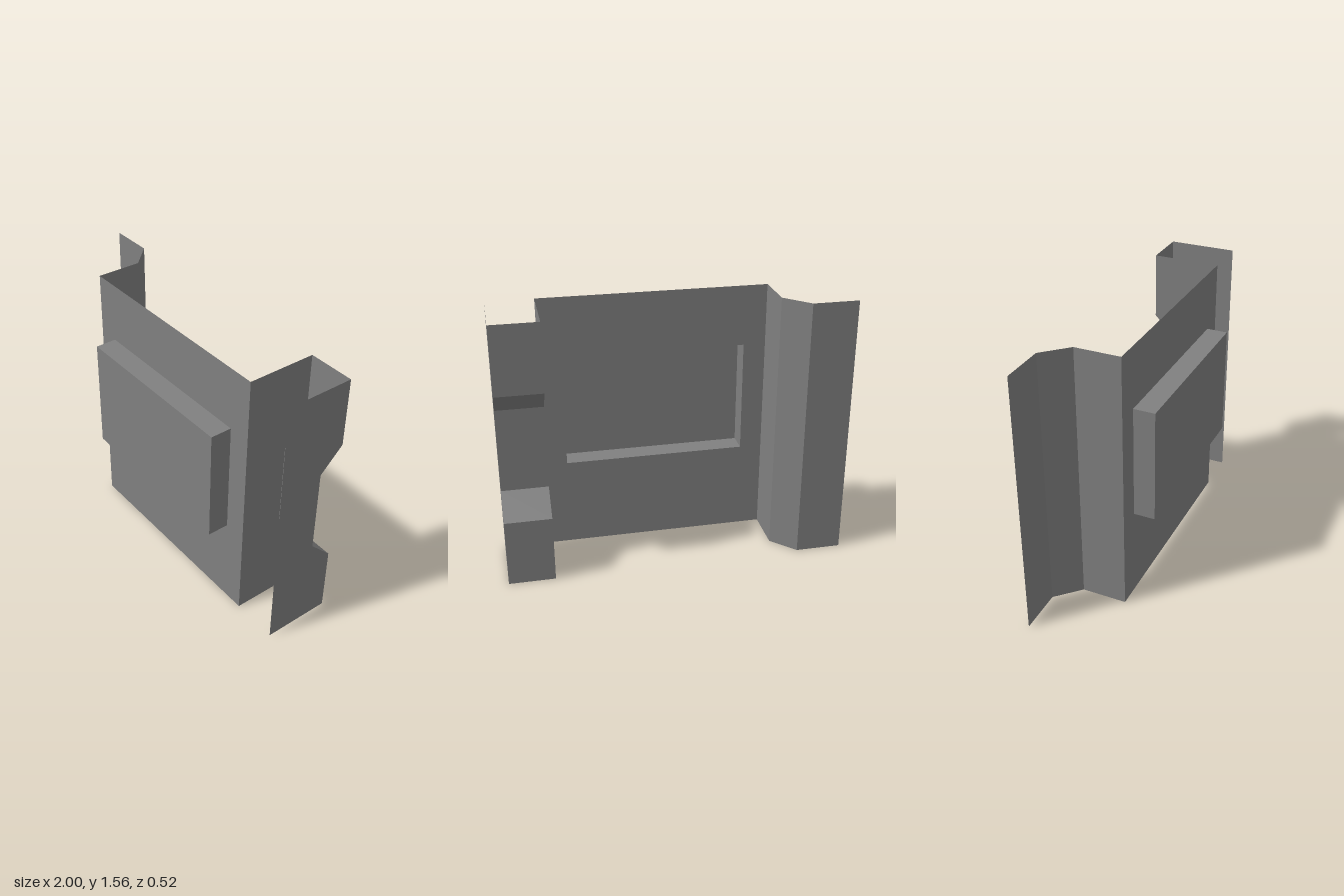
import * as THREE from 'three';

const H = 1.562;                                  // sheet height
const FRONT = 0.137, BACK = -0.262, MID = -0.127; // depth levels
const EMBOSS = 0.262;

export function createModel() {
  const group = new THREE.Group();
  const steel = new THREE.MeshStandardMaterial({ color: 0x808080, side: THREE.DoubleSide });
  steel.name = 'grey steel';

  const add = (name, geometry) => {
    const mesh = new THREE.Mesh(geometry, steel);
    mesh.name = name;
    group.add(mesh);
    return mesh;
  };

  // Folded sheet: sweeps a polyline of points along an offset, one flat quad per segment
  const fold = (points, offset, closed = false) => {
    const pos = [];
    const count = closed ? points.length : points.length - 1;
    for (let i = 0; i < count; i++) {
      const a = points[i], b = points[(i + 1) % points.length];
      const c = b.map((v, k) => v + offset[k]);
      const d = a.map((v, k) => v + offset[k]);
      pos.push(...a, ...b, ...c, ...a, ...c, ...d);
    }
    const g = new THREE.BufferGeometry();
    g.setAttribute('position', new THREE.Float32BufferAttribute(pos, 3));
    g.computeVertexNormals();
    return g;
  };

  // Main panel with a rectangular opening behind the embossed field
  const x0 = -0.47, x1 = 0.597, y0 = 0.535, y1 = 1.203;
  const rect = (a, b, c, d) => [[a, b], [c, b], [c, d], [a, d]].map(p => new THREE.Vector2(...p));
  const panel = new THREE.Shape(rect(-0.6, 0, 0.73, H));
  panel.holes.push(new THREE.Path(rect(x0, y0, x1, y1)));
  add('mainPanel', new THREE.ShapeGeometry(panel).translate(0, 0, FRONT));

  // Raised field, hollow from behind
  const rim = [[x0, y0, FRONT], [x1, y0, FRONT], [x1, y1, FRONT], [x0, y1, FRONT]];
  add('embossSides', fold(rim, [0, 0, EMBOSS - FRONT], true));
  add('embossFace', new THREE.ShapeGeometry(new THREE.Shape(rect(x0, y0, x1, y1))).translate(0, 0, EMBOSS));

  // Folded flange on the model's right: return wall, slanted strip, flat lip
  const lip = [[-0.6, 0, FRONT], [-0.6, 0, MID], [-0.733, 0, BACK], [-1, 0, BACK]];
  add('foldedFlange', fold(lip, [0, H, 0]));

  // Channel on the model's left, its back stepped inwards at mid height
  const step = [[0, BACK], [0.4, BACK], [0.535, MID], [1.03, MID], [1.165, BACK], [H, BACK]];
  add('channelBack', fold(step.map(([y, z]) => [0.73, y, z]), [0.27, 0, 0]));

  // Side walls of the channel, notched to follow the step
  const outline = [[0, FRONT], ...step, [H, FRONT]].map(([y, z]) => new THREE.Vector2(-z, y));
  for (const [name, x] of [['channelInnerWall', 0.73], ['channelOuterWall', 1]]) {
    const wall = new THREE.ShapeGeometry(new THREE.Shape(outline));
    add(name, wall.rotateY(Math.PI / 2).translate(x, 0, 0));
  }

  return group;
}
